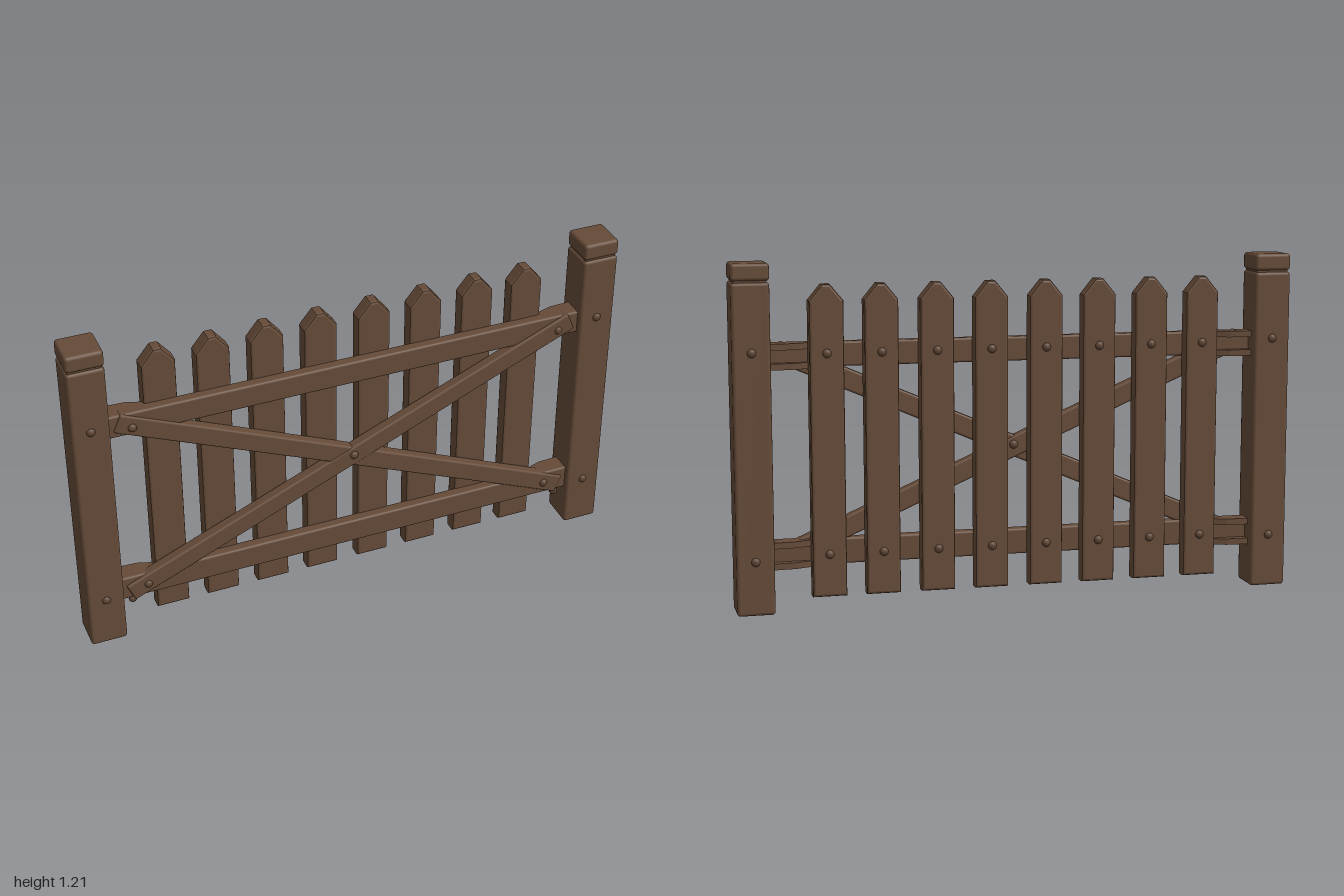
import * as THREE from 'three';
import { RoundedBoxGeometry } from 'three/addons/geometries/RoundedBoxGeometry.js';

const wood = new THREE.MeshStandardMaterial({ color: 0x664b38 });
wood.name = 'brown wood';
const boltWood = new THREE.MeshStandardMaterial({ color: 0x5f4635 });
boltWood.name = 'dark brown bolt';

export function createModel() {
  const gate = new THREE.Group();
  gate.name = 'picketGate';

  const add = (name, geometry, x, y, z, material = wood) => {
    const mesh = new THREE.Mesh(geometry, material);
    mesh.name = name;
    mesh.position.set(x, y, z);
    gate.add(mesh);
    return mesh;
  };
  const block = (name, w, h, d, x, y, z, r = 0.008) =>
    add(name, new RoundedBoxGeometry(w, h, d, 2, r), x, y, z);

  // Domed bolt head; dir is +1 for the front face and -1 for the back face
  const dome = new THREE.SphereGeometry(0.016, 12, 6, 0, Math.PI * 2, 0, Math.PI / 2);
  dome.rotateX(Math.PI / 2);
  dome.scale(1, 1, 0.75);
  const bolt = (x, y, z, dir) => {
    const b = add('bolt', dome, x, y, z, boltWood);
    if (dir < 0) b.rotation.y = Math.PI;
  };

  // Posts with a groove below the cap
  for (const s of [-1, 1]) {
    const x = s * 0.934;
    block('post', 0.132, 1.148, 0.132, x, 0.574, 0, 0.012);
    block('postNeck', 0.116, 0.06, 0.116, x, 1.152, 0, 0.004);
    block('postCap', 0.132, 0.06, 0.132, x, 1.183, 0, 0.012);
    for (const y of [0.19, 0.91]) {
      bolt(x, y, 0.064, 1);
      bolt(x, y, -0.064, -1);
    }
  }

  // Pickets with pointed, bevelled tops
  const bevel = 0.009;
  const outline = new THREE.Shape([
    [-0.051, 0.058], [0.051, 0.058], [0.051, 1.077],
    [0.01, 1.127], [-0.01, 1.127], [-0.051, 1.077],
  ].map(([x, y]) => new THREE.Vector2(x, y)));
  const picket = new THREE.ExtrudeGeometry(outline, {
    depth: 0.038, bevelEnabled: true, bevelSize: bevel, bevelThickness: bevel, bevelSegments: 2,
  });
  for (const x of [-0.675, -0.485, -0.293, -0.1, 0.097, 0.29, 0.485, 0.675]) {
    add('picket', picket, x, 0, -0.038);
    bolt(x, 0.9, -0.045, -1);
    bolt(x, 0.2, -0.045, -1);
  }

  // Rails, with flared flanges behind each end where they meet the posts
  const flare = new THREE.Shape([
    [0.68, 0.012], [0.88, 0.012], [0.88, -0.03], [0.79, -0.025],
  ].map(([x, z]) => new THREE.Vector2(x, -z)));
  const flange = new THREE.ExtrudeGeometry(flare, { depth: 0.022, bevelEnabled: false });
  flange.rotateX(-Math.PI / 2);
  for (const [y, h] of [[0.892, 0.086], [0.2, 0.092]]) {
    block('rail', 1.76, h, 0.042, 0, y, 0.023);
    for (const s of [-1, 1]) {
      for (const edge of [y - h / 2 - 0.004, y + h / 2 - 0.022]) {
        const f = add('railEndFlange', flange, 0, edge, 0);
        if (s < 0) {
          f.geometry = flange.clone().rotateZ(Math.PI).translate(0, 0.022, 0);
        }
      }
    }
  }

  // Crossed braces, the rising one lying slightly in front
  for (const s of [-1, 1]) {
    const z = s > 0 ? 0.033 : 0.03;
    const brace = block('crossBrace', 1.83, 0.072, 0.042, 0, 0.543, z);
    brace.rotation.z = s * Math.atan(0.433);
    bolt(s * 0.79, 0.88, 0.05, 1);
    bolt(s * 0.775, 0.205, 0.05, 1);
    bolt(s * 0.83, 0.14, 0.03, 1);
  }
  bolt(0.005, 0.55, 0.053, 1);
  bolt(0.005, 0.55, 0.011, -1);

  return gate;
}
